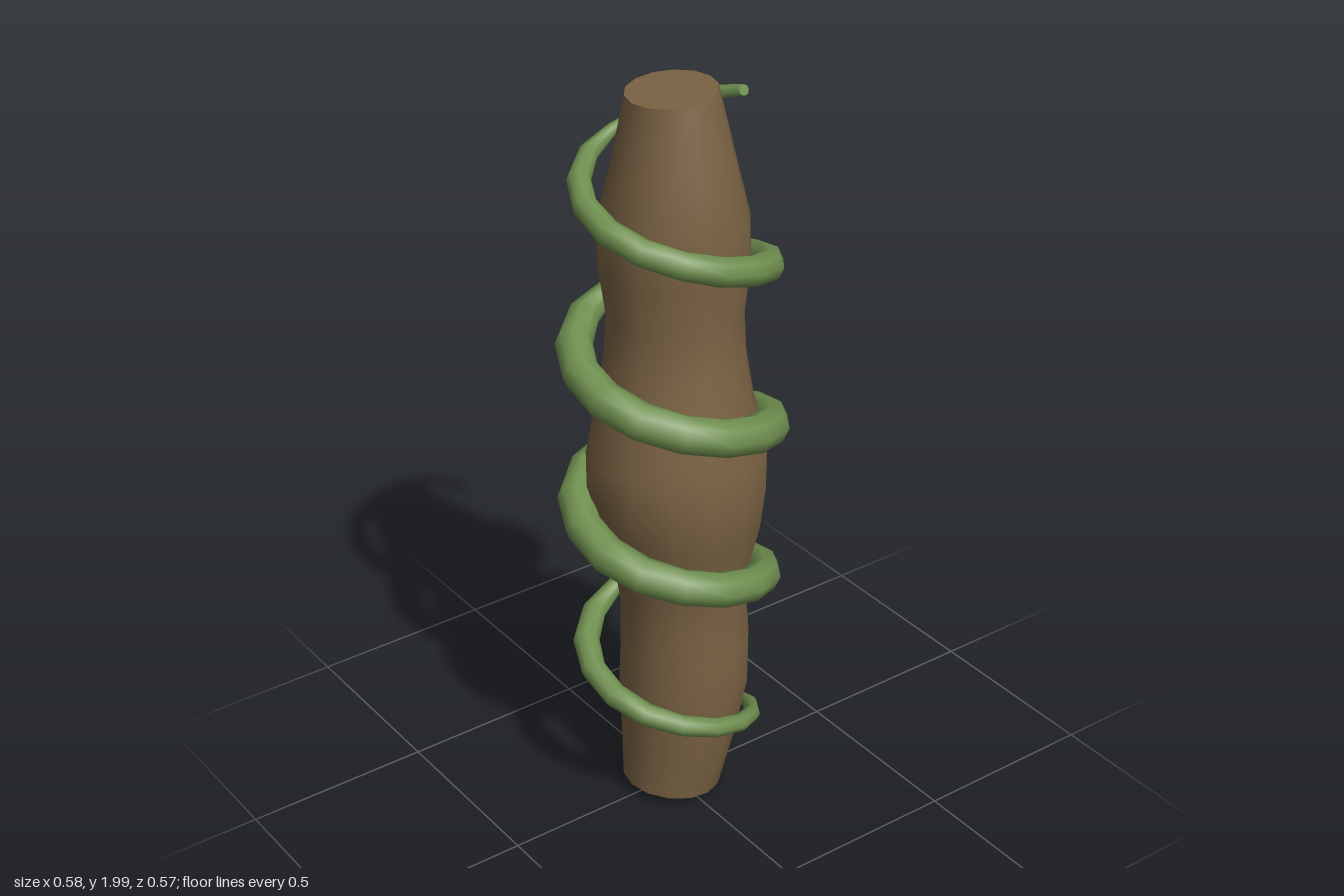
import * as THREE from 'three';

const wood = new THREE.MeshStandardMaterial({ color: 0x7a6243 });
wood.name = 'bark brown';
const leaf = new THREE.MeshStandardMaterial({ color: 0x6f8f4f });
leaf.name = 'vine green';

// Skin a list of closed rings (arrays of Vector3), smooth along the side with crisp flat caps
function skin(rings, material, name) {
  const n = rings[0].length, pos = [], index = [];
  const add = (p) => { pos.push(p.x, p.y, p.z); return pos.length / 3 - 1; };
  rings.forEach((ring) => ring.forEach(add));
  for (let i = 0; i < rings.length - 1; i++) {
    for (let j = 0; j < n; j++) {
      const k = (j + 1) % n;
      const a = i * n + j, b = a + n, c = i * n + k, d = c + n;
      index.push(a, b, c, b, d, c);
    }
  }
  const cap = (ring, flip) => {
    const mid = new THREE.Vector3();
    ring.forEach((p) => mid.addScaledVector(p, 1 / n));
    const m = add(mid), first = pos.length / 3;
    ring.forEach(add);
    for (let j = 0; j < n; j++) {
      const a = first + j, b = first + (j + 1) % n;
      index.push(m, flip ? b : a, flip ? a : b);
    }
  };
  cap(rings[0], false);
  cap(rings[rings.length - 1], true);
  const geo = new THREE.BufferGeometry();
  geo.setAttribute('position', new THREE.Float32BufferAttribute(pos, 3));
  geo.setIndex(index);
  geo.computeVertexNormals();
  const mesh = new THREE.Mesh(geo, material);
  mesh.name = name;
  return mesh;
}

// Lumpy trunk: height, x min, x max, z min, z max, slope of the ring along x
function makeTrunk() {
  const rows = [
    [0.022, -0.135, 0.125, -0.13, 0.13, -0.13],
    [0.2, -0.14, 0.165, -0.147, 0.165, -0.06],
    [0.35, -0.145, 0.2, -0.16, 0.183, 0],
    [0.47, -0.14, 0.2, -0.158, 0.183, 0],
    [0.6, -0.14, 0.19, -0.152, 0.177, 0],
    [0.72, -0.16, 0.2, -0.165, 0.19, 0],
    [0.84, -0.195, 0.22, -0.19, 0.225, 0],
    [0.95, -0.225, 0.24, -0.215, 0.235, 0],
    [1.05, -0.225, 0.24, -0.215, 0.23, 0],
    [1.18, -0.195, 0.2, -0.192, 0.205, 0],
    [1.3, -0.17, 0.185, -0.18, 0.18, 0],
    [1.42, -0.16, 0.183, -0.175, 0.168, 0],
    [1.55, -0.175, 0.2, -0.198, 0.18, 0],
    [1.66, -0.178, 0.195, -0.195, 0.182, 0],
    [1.8, -0.147, 0.155, -0.158, 0.157, 0.03],
    [1.993, -0.115, 0.11, -0.11, 0.11, 0.065],
  ];
  const rings = rows.map(([y, x0, x1, z0, z1, slope]) =>
    Array.from({ length: 14 }, (_, j) => {
      const a = (j / 14) * Math.PI * 2;
      const x = (x0 + x1) / 2 + Math.cos(a) * (x1 - x0) / 2;
      const z = (z0 + z1) / 2 + Math.sin(a) * (z1 - z0) / 2;
      return new THREE.Vector3(x, y + slope * x, z);
    }));
  return skin(rings, wood, 'trunk');
}

// Vine: four turns around the trunk, thin at the tips and pinched at the back of each turn
function makeVine() {
  const turns = 4, steps = 60, sides = 8, rings = [];
  const at = (t) => {
    const a = t * turns * Math.PI * 2;
    const r = 0.21 + 0.035 * Math.sin(Math.PI * t);
    return new THREE.Vector3(r * Math.cos(a), 0.19 + 1.75 * t, r * Math.sin(a));
  };
  for (let i = 0; i <= steps; i++) {
    const t = i / steps, a = t * turns * Math.PI * 2;
    const p = at(t);
    const tangent = at(t + 0.001).sub(at(t - 0.001)).normalize();
    const u = new THREE.Vector3(Math.cos(a), 0, Math.sin(a));
    u.addScaledVector(tangent, -u.dot(tangent)).normalize();
    const v = u.clone().cross(tangent);
    const pinch = 1 - 0.4 * Math.pow(Math.max(0, -Math.sin(a)), 10);
    const r = (0.014 + 0.036 * Math.pow(Math.max(0, Math.sin(Math.PI * t)), 0.7)) * pinch;
    rings.push(Array.from({ length: sides }, (_, j) => {
      const b = (j / sides) * Math.PI * 2;
      return p.clone().addScaledVector(u, r * Math.cos(b)).addScaledVector(v, r * Math.sin(b));
    }));
  }
  return skin(rings, leaf, 'vine');
}

export function createModel() {
  const group = new THREE.Group();
  group.name = 'vineWrappedTrunk';
  group.add(makeTrunk(), makeVine());
  return group;
}
